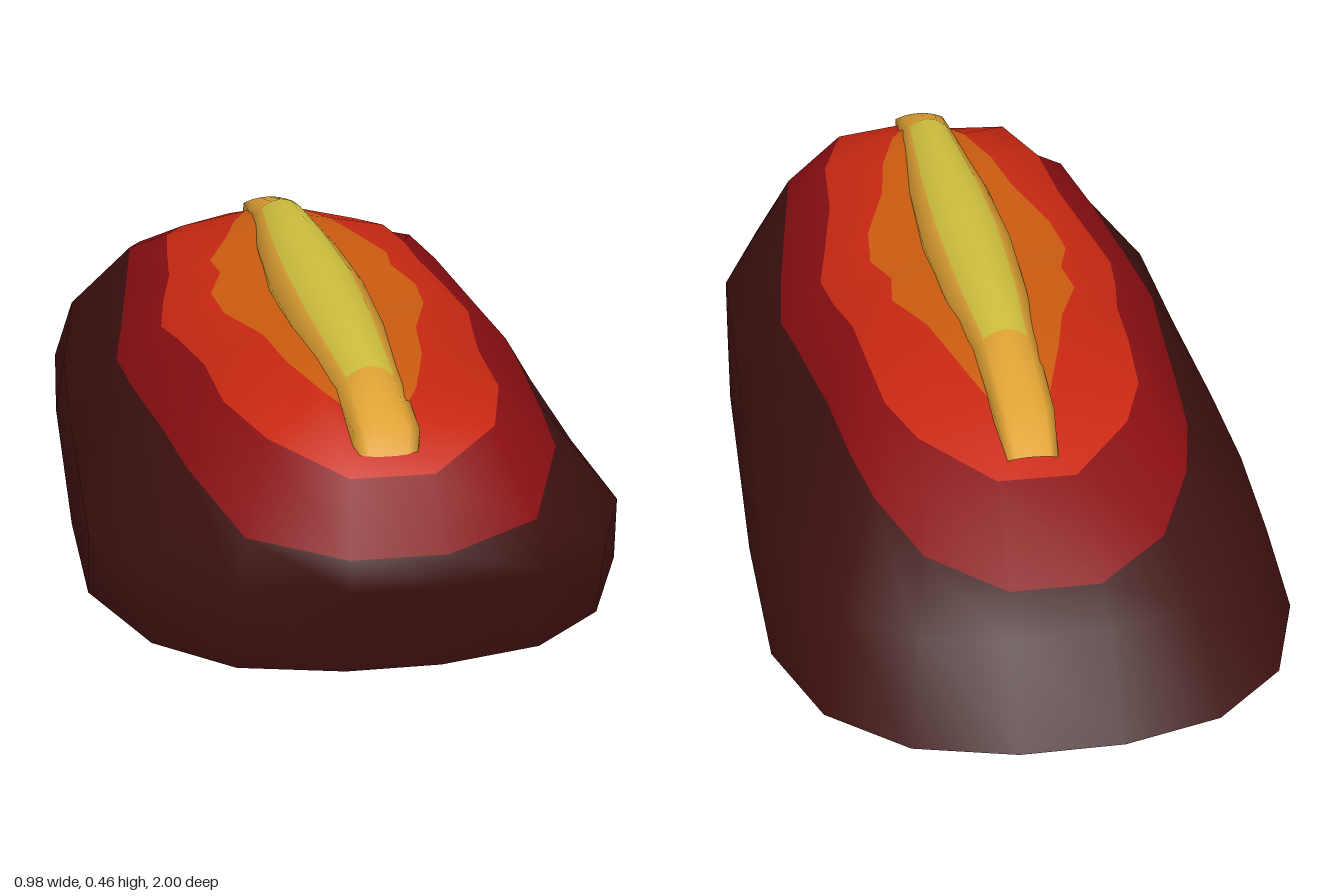
import * as THREE from 'three';

const mat = (name, color) => Object.assign(new THREE.MeshStandardMaterial({ color }), { name });

// Indexed geometry whose faces are grouped by material, with shared smooth normals
function groupedGeometry(points, faceLists) {
  const geo = new THREE.BufferGeometry();
  geo.setAttribute('position', new THREE.Float32BufferAttribute(points.flat(), 3));
  let start = 0;
  faceLists.forEach((list, m) => {
    geo.addGroup(start, list.length, m);
    start += list.length;
  });
  geo.setIndex(faceLists.flat());
  geo.computeVertexNormals();
  return geo;
}

const quad = (a, b, c, d) => [a, b, c, a, c, d];

// Half contours [x, y, z] running from the back to the front, lowest first
const baseEdge = [
  [.09, 0, -1], [.265, 0, -.955], [.4, 0, -.84], [.475, 0, -.65], [.49, 0, -.3], [.49, 0, -.05],
  [.49, 0, .1], [.49, 0, .3], [.478, 0, .6], [.385, 0, .81], [.255, 0, .92], [.08, 0, .96],
];
const waist = [
  [.09, .15, -.89], [.24, .15, -.85], [.36, .15, -.75], [.435, .14, -.6], [.47, .11, -.3], [.475, .11, -.05],
  [.475, .11, .1], [.475, .11, .3], [.475, .12, .61], [.39, .14, .83], [.26, .155, .955], [.08, .16, 1],
];
const redEdge = [
  [.08, .21, -.83], [.21, .23, -.73], [.28, .275, -.6], [.31, .3, -.48], [.33, .3, -.3], [.365, .275, -.02],
  [.385, .26, .12], [.37, .27, .3], [.34, .288, .55], [.315, .293, .76], [.24, .237, .93], [.08, .215, .995],
];
const scarletEdge = [
  [.07, .318, -.65], [.19, .335, -.51], [.235, .35, -.4], [.25, .358, -.25], [.26, .353, -.1], [.285, .34, .03],
  [.3, .332, .15], [.28, .345, .26], [.25, .36, .45], [.24, .365, .65], [.19, .365, .83], [.07, .328, .93],
];
const orangeEdge = [
  [.03, .362, -.52], [.06, .38, -.45], [.1, .396, -.32], [.13, .4, -.2], [.18, .39, -.07], [.17, .393, .02],
  [.2, .384, .12], [.19, .387, .25], [.14, .4, .42], [.12, .402, .57], [.08, .4, .72], [.03, .387, .83],
];

function makeMound(mats) {
  const crest = orangeEdge.map(([, y, z]) => [0, Math.min(y + .015, .41), z]);
  const rings = [baseEdge, waist, redEdge, scarletEdge, orangeEdge, crest]
    .map(half => [...half, ...half.map(([x, y, z]) => [-x, y, z]).reverse()]);
  const n = rings[0].length;
  const bandColour = [0, 0, 1, 2, 3];
  const faces = [[], [], [], []];
  bandColour.forEach((c, r) => {
    for (let i = 0; i < n; i++) {
      const j = (i + 1) % n;
      faces[c].push(...quad(r * n + i, (r + 1) * n + i, (r + 1) * n + j, r * n + j));
    }
  });
  const mound = new THREE.Mesh(groupedGeometry(rings.flat(), faces), mats);
  mound.name = 'bandedMound';

  // Flat underside
  const bottom = [];
  for (let i = 0; i < n; i++) bottom.push(n, i, (i + 1) % n);
  const underside = new THREE.Mesh(groupedGeometry([...rings[0], [0, 0, 0]], [bottom]), [mats[0]]);
  underside.name = 'underside';
  return [mound, underside];
}

// Ridge sections: [z, half width, top height, drop from top to shoulder]
const ridgeSections = [
  [-.61, .045, .337, .004], [-.52, .054, .39, .012], [-.32, .06, .441, .04], [-.1, .08, .452, .05],
  [.15, .09, .458, .053], [.4, .083, .454, .05], [.72, .06, .441, .042], [.87, .055, .395, .012], [.9, .045, .34, .004],
];

function makeRidge(gold, yellow) {
  const half = [[1, 1.0, .06], [1, 1, 0], [.68, .45, 0], [.35, .12, 0]];
  const outline = [...half, [0, 0, 0], ...half.map(([x, d, e]) => [-x, d, e]).reverse()];
  const n = outline.length;
  const points = ridgeSections.flatMap(([z, w, top, drop]) =>
    outline.map(([x, d, e]) => [x * w, top - d * drop - e, z]));
  const faces = [[], []];
  for (let s = 0; s < ridgeSections.length - 1; s++) {
    for (let i = 0; i < n - 1; i++) {
      const onTop = i >= 2 && i <= n - 4 && s >= 2 && s <= 5;
      const a = s * n + i;
      faces[onTop ? 1 : 0].push(...quad(a, a + 1, a + n + 1, a + n));
    }
  }
  const ridge = new THREE.Mesh(groupedGeometry(points, faces), [gold, yellow]);
  ridge.name = 'glowingRidge';
  return ridge;
}

export function createModel() {
  const group = new THREE.Group();
  group.name = 'glowingMound';
  const mats = [
    mat('darkCrust', 0x3e1010), mat('deepRed', 0x880e12),
    mat('scarlet', 0xc82812), mat('orange', 0xcc5c10),
  ];
  group.add(...makeMound(mats), makeRidge(mat('gold', 0xe0a234), mat('yellow', 0xd0c03e)));
  return group;
}
